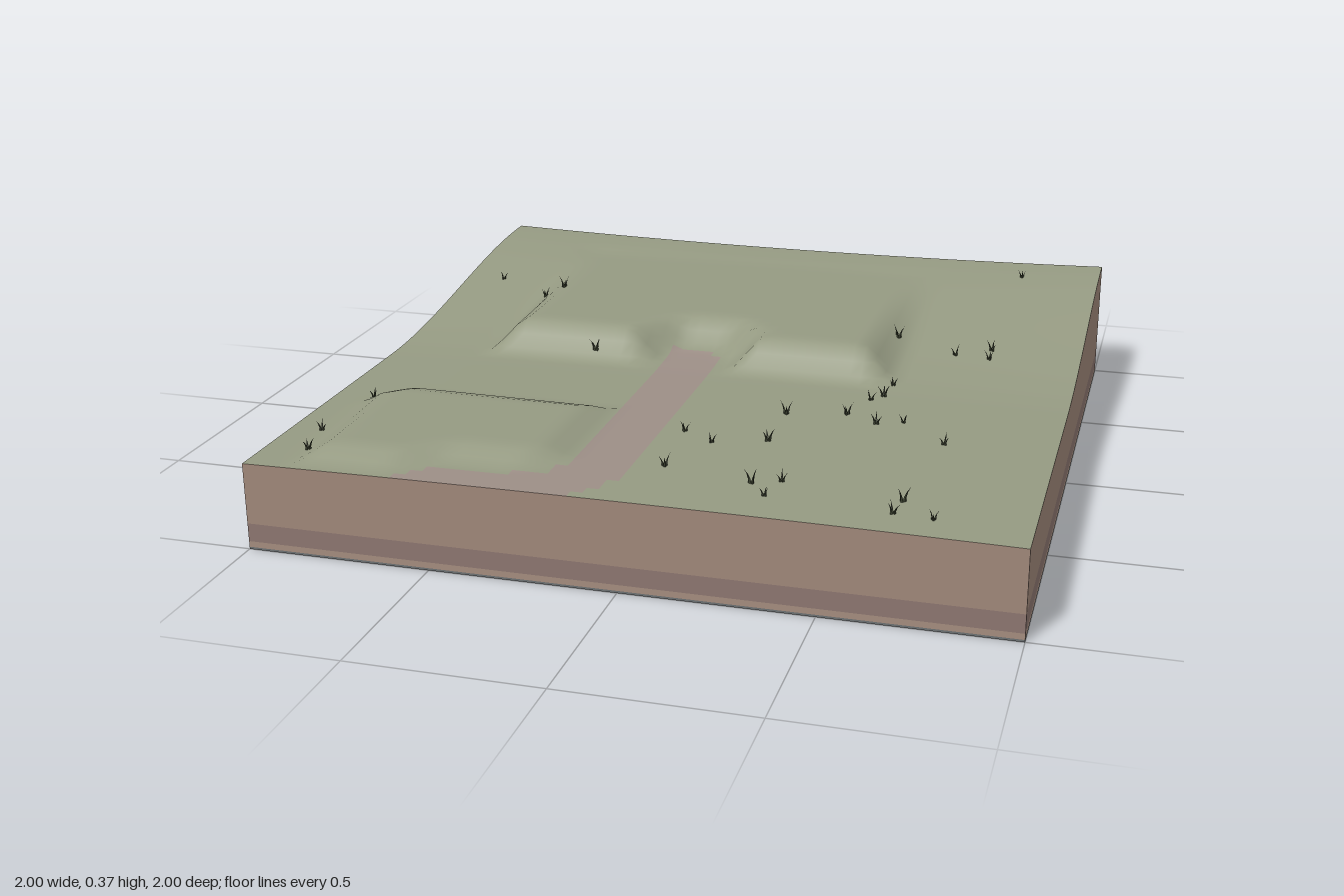
import * as THREE from 'three';
import { mergeGeometries } from 'three/addons/utils/BufferGeometryUtils.js';

const N = 64;
const smooth = THREE.MathUtils.smoothstep;
const lerp = THREE.MathUtils.lerp;

// Foot outlines (x, z) of the raised building pads, and the path centre line
const TERRACE = [[-0.73, 0.03], [-0.2, 0.03], [-0.2, -0.06], [-0.15, -0.13], [-0.05, -0.13],
  [0, -0.07], [0.01, 0.03], [0.5, 0.03], [0.5, -0.88], [-0.74, -0.88]];
const LOWER_PAD = [[-0.88, 0.97], [-0.6, 0.97], [-0.49, 0.88], [-0.28, 0.88], [-0.19, 0.8],
  [-0.19, 0.38], [-0.8, 0.37], [-0.91, 0.47]];
const PATH = [[-0.11, -0.06], [-0.11, 0.8], [-0.14, 0.89], [-0.22, 0.96], [-0.5, 1]];

function segmentDistance(x, z, [ax, az], [bx, bz]) {
  const dx = bx - ax, dz = bz - az;
  const t = THREE.MathUtils.clamp(((x - ax) * dx + (z - az) * dz) / (dx * dx + dz * dz), 0, 1);
  return Math.hypot(x - ax - t * dx, z - az - t * dz);
}

// Distance inward from an outline, 0 when outside
function insideDistance(x, z, poly) {
  let inside = false, d = Infinity;
  poly.forEach((a, i) => {
    const b = poly[(i + 1) % poly.length];
    d = Math.min(d, segmentDistance(x, z, a, b));
    if ((a[1] > z) !== (b[1] > z) && x < a[0] + (b[0] - a[0]) * (z - a[1]) / (b[1] - a[1])) inside = !inside;
  });
  return inside ? d : 0;
}

function onPath(x, z) {
  return PATH.slice(1).some((b, i) => segmentDistance(x, z, PATH[i], b) < 0.08);
}

// Hillside rising to the back, with the two flat pads blended in
function height(x, z) {
  const rise = 1 - smooth(z, -1, 0.1);
  let h = 0.238 + 0.117 * rise + (1 - x * x) * lerp(0.007, -0.015, rise);
  h = lerp(h, 0.332, smooth(insideDistance(x, z, TERRACE), 0, 0.11));
  return lerp(h, 0.277, smooth(insideDistance(x, z, LOWER_PAD), 0, 0.09));
}

function mesh(name, geometry, color, side = THREE.FrontSide) {
  const m = new THREE.Mesh(geometry, new THREE.MeshStandardMaterial({ color, side }));
  m.name = name;
  return m;
}

function buildGeometry(positions, index) {
  const g = new THREE.BufferGeometry();
  g.setAttribute('position', new THREE.Float32BufferAttribute(positions, 3));
  g.setIndex(index);
  g.computeVertexNormals();
  return g;
}

// Ground surface, split cell by cell into grass and path that share normals
function ground() {
  const pos = [], grass = [], path = [];
  for (let j = 0; j <= N; j++) {
    for (let i = 0; i <= N; i++) {
      const x = -1 + 2 * i / N, z = -1 + 2 * j / N;
      pos.push(x, height(x, z), z);
    }
  }
  for (let j = 0; j < N; j++) {
    for (let i = 0; i < N; i++) {
      const a = j * (N + 1) + i, b = a + 1, c = a + N + 1, d = c + 1;
      const list = onPath(-1 + (2 * i + 1) / N, -1 + (2 * j + 1) / N) ? path : grass;
      list.push(a, c, b, b, c, d);
    }
  }
  const whole = buildGeometry(pos, [...grass, ...path]);
  const part = (index) => {
    const g = new THREE.BufferGeometry();
    g.setAttribute('position', whole.getAttribute('position'));
    g.setAttribute('normal', whole.getAttribute('normal'));
    g.setIndex(index);
    return g;
  };
  return [mesh('grassGround', part(grass), 0x959a82), mesh('footpath', part(path), 0x9c8e86)];
}

// One soil layer around the four cut sides
function layer(name, bottom, top, color) {
  const pos = [], index = [];
  for (let k = 0; k < 4; k++) {
    for (let i = 0; i <= N; i++) {
      let x = -1 + 2 * i / N, z = 1;
      for (let r = 0; r < k; r++) [x, z] = [z, -x];
      const a = pos.length / 3;
      pos.push(x, bottom, z, x, top(x, z), z);
      if (i < N) index.push(a, a + 2, a + 3, a, a + 3, a + 1);
    }
  }
  return mesh(name, buildGeometry(pos, index), color);
}

// Tuft of three bent blades fanning out from one root
function tuftGeometry() {
  const blades = [];
  for (let k = 0; k < 3; k++) {
    const tall = 0.026 + 0.004 * k;
    const blade = new THREE.ConeGeometry(0.004, tall, 4, 3);
    blade.translate(0, tall / 2, 0);
    const p = blade.getAttribute('position');
    for (let i = 0; i < p.count; i++) {
      const t = p.getY(i) / tall;
      p.setX(i, p.getX(i) + 0.004 + 0.013 * t * t);
    }
    blade.rotateY(k * 2.094 + 0.4);
    blades.push(blade);
  }
  const g = mergeGeometries(blades);
  g.computeVertexNormals();
  return g;
}

const TUFTS = [[-0.88, -0.52], [-0.68, -0.37], [-0.63, -0.41], [-0.39, -0.01], [-0.87, 0.49], [-0.91, 0.73],
  [-0.88, 0.87], [0.46, -0.3], [0.76, -0.85], [0.64, -0.25], [0.74, -0.3], [0.49, 0.09], [0.5, 0],
  [0.46, 0.13], [0.42, 0.26], [0.26, 0.3], [0.58, 0.28], [0.71, 0.41], [0.51, 0.31], [0.26, 0.51],
  [0.12, 0.56], [0.03, 0.5], [0.05, 0.75], [0.29, 0.8], [0.34, 0.87], [0.36, 0.77], [0.66, 0.89],
  [0.67, 0.81], [0.76, 0.9], [0.74, -0.24]];

export function createModel() {
  const group = new THREE.Group();
  group.name = 'terrainTile';
  group.add(...ground());

  // Cut earth sides and underside
  group.add(layer('baseEdge', 0, () => 0.006, 0x6d7173));
  group.add(layer('lowerSoil', 0.006, () => 0.022, 0xa58d7f));
  group.add(layer('darkStratum', 0.022, () => 0.072, 0x8d7670));
  group.add(layer('upperSoil', 0.072, height, 0xa0887a));
  const underside = mesh('underside', new THREE.PlaneGeometry(2, 2), 0x69635b);
  underside.rotation.x = Math.PI / 2;
  group.add(underside);

  // Scattered grass
  const tufts = new THREE.Group();
  tufts.name = 'grassTufts';
  const geometry = tuftGeometry();
  TUFTS.forEach(([x, z], i) => {
    const tuft = mesh('grassTuft', geometry, 0x3c4230, THREE.DoubleSide);
    tuft.position.set(x, height(x, z) - 0.002, z);
    tuft.rotation.y = i * 2.4;
    tuft.scale.setScalar(0.85 + 0.1 * (i % 4));
    tufts.add(tuft);
  });
  group.add(tufts);
  return group;
}
